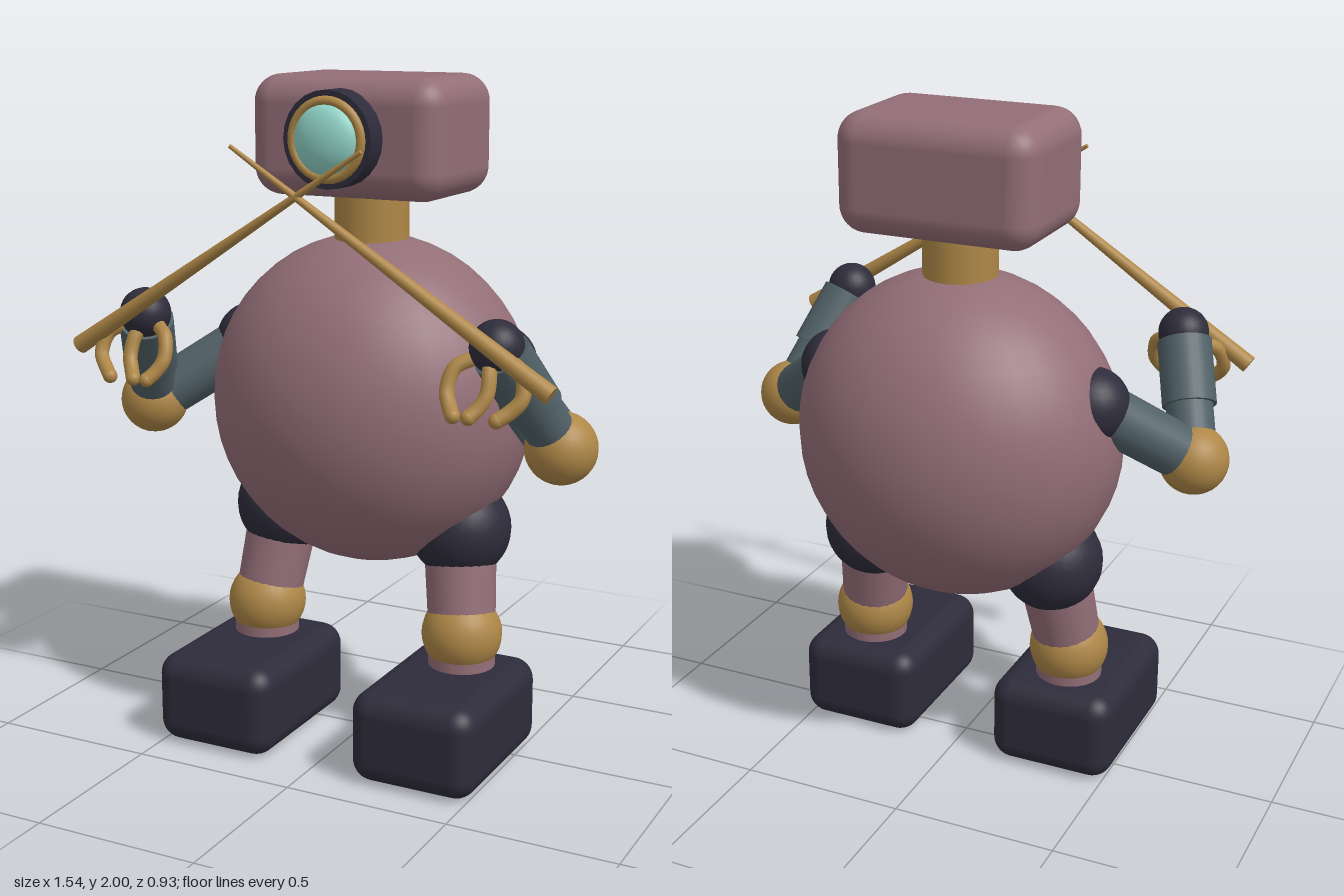
import * as THREE from 'three';
import { RoundedBoxGeometry } from 'three/addons/geometries/RoundedBoxGeometry.js';

const mat = (name, color) => {
  const m = new THREE.MeshStandardMaterial({ color });
  m.name = name;
  return m;
};
const V = (x, y, z) => new THREE.Vector3(x, y, z);

export function createModel() {
  const mauve = mat('mauve', 0x936e77);
  const gold = mat('gold', 0xae8747);
  const navy = mat('navy', 0x2e2c3b);
  const slate = mat('slate', 0x506066);
  const glass = mat('aqua', 0x8fd2c6);

  const robot = new THREE.Group();
  robot.name = 'robot';

  function add(parent, name, geometry, material, pos) {
    const mesh = new THREE.Mesh(geometry, material);
    mesh.name = name;
    if (pos) mesh.position.copy(pos);
    parent.add(mesh);
    return mesh;
  }
  const ball = (parent, name, pos, r, material) =>
    add(parent, name, new THREE.SphereGeometry(r, 28, 18), material, pos);

  // Tapered round bar running from point a to point b
  function bar(parent, name, a, b, ra, rb, material) {
    const dir = b.clone().sub(a);
    const mesh = add(parent, name, new THREE.CylinderGeometry(rb, ra, dir.length(), 24), material,
      a.clone().lerp(b, 0.5));
    mesh.quaternion.setFromUnitVectors(V(0, 1, 0), dir.normalize());
    return mesh;
  }

  // Body, neck and head
  add(robot, 'body', new THREE.SphereGeometry(1, 32, 24), mauve, V(0, 1.045, -0.043)).scale.set(0.492, 0.495, 0.423);
  bar(robot, 'neck', V(0, 1.48, -0.04), V(0, 1.7, -0.04), 0.11, 0.11, gold);
  add(robot, 'head', new RoundedBoxGeometry(0.608, 0.345, 0.42, 5, 0.08), mauve, V(0, 1.8275, -0.043));

  // Single eye with housing, rim and domed lens
  bar(robot, 'eyeHousing', V(0, 1.83, 0.1), V(0, 1.83, 0.24), 0.137, 0.137, navy);
  add(robot, 'eyeRim', new THREE.TorusGeometry(0.107, 0.014, 10, 36), gold, V(0, 1.83, 0.241));
  add(robot, 'eyeLens', new THREE.SphereGeometry(0.1, 28, 18), glass, V(0, 1.83, 0.238)).scale.z = 0.5;

  for (const s of [1, -1]) {
    const side = s > 0 ? 'left' : 'right';
    const P = (x, y, z) => V(s * x, y, z);

    // Leg
    const leg = new THREE.Group();
    leg.name = side + 'Leg';
    robot.add(leg);
    const hip = P(0.295, 0.68, -0.037);
    const knee = P(0.333, 0.375, 0.025);
    ball(leg, 'hip', hip, 0.153, navy);
    bar(leg, 'thigh', hip, knee, 0.11, 0.1, mauve);
    ball(leg, 'knee', knee, 0.12, gold);
    bar(leg, 'shin', knee, P(0.335, 0.2, 0.028), 0.1, 0.1, mauve);
    add(leg, 'foot', new RoundedBoxGeometry(0.386, 0.275, 0.533, 5, 0.065), navy, P(0.327, 0.1425, 0.13));

    // Arm
    const arm = new THREE.Group();
    arm.name = side + 'Arm';
    robot.add(arm);
    const shoulder = P(0.41, 1.19, -0.04);
    const elbow = P(0.667, 1.005, 0.125);
    const wrist = P(0.555, 1.315, 0.328);
    ball(arm, 'shoulder', shoulder, 0.11, navy);
    bar(arm, 'upperArm', shoulder, elbow, 0.083, 0.08, slate);
    ball(arm, 'elbow', elbow, 0.103, gold);
    bar(arm, 'forearm', elbow, wrist, 0.069, 0.069, slate);
    bar(arm, 'cuff', elbow.clone().lerp(wrist, 0.42), elbow.clone().lerp(wrist, 0.93), 0.08, 0.08, slate);
    ball(arm, 'wrist', wrist, 0.075, navy);

    // Curled fingers: outer, middle, inner
    for (const [x0, x1, x2] of [[0.6, 0.66, 0.605], [0.54, 0.56, 0.525], [0.5, 0.445, 0.48]]) {
      const path = new THREE.CatmullRomCurve3([
        P(x0, 1.285, 0.345), P((x0 + x1) / 2 + (x1 - x0) * 0.3, 1.26, 0.378),
        P(x1, 1.2, 0.405), P((x1 + x2) / 2, 1.165, 0.425), P(x2, 1.145, 0.445),
      ]);
      add(arm, 'finger', new THREE.TubeGeometry(path, 16, 0.021, 10), gold);
      ball(arm, 'fingertip', P(x2, 1.145, 0.445), 0.021, gold);
    }

    // Tapered stick crossing in front of the face
    bar(robot, side + 'Stick', P(0.738, 1.217, 0.402), P(-0.2, 1.82, 0.423), 0.027, 0.006, gold);
  }
  return robot;
}
